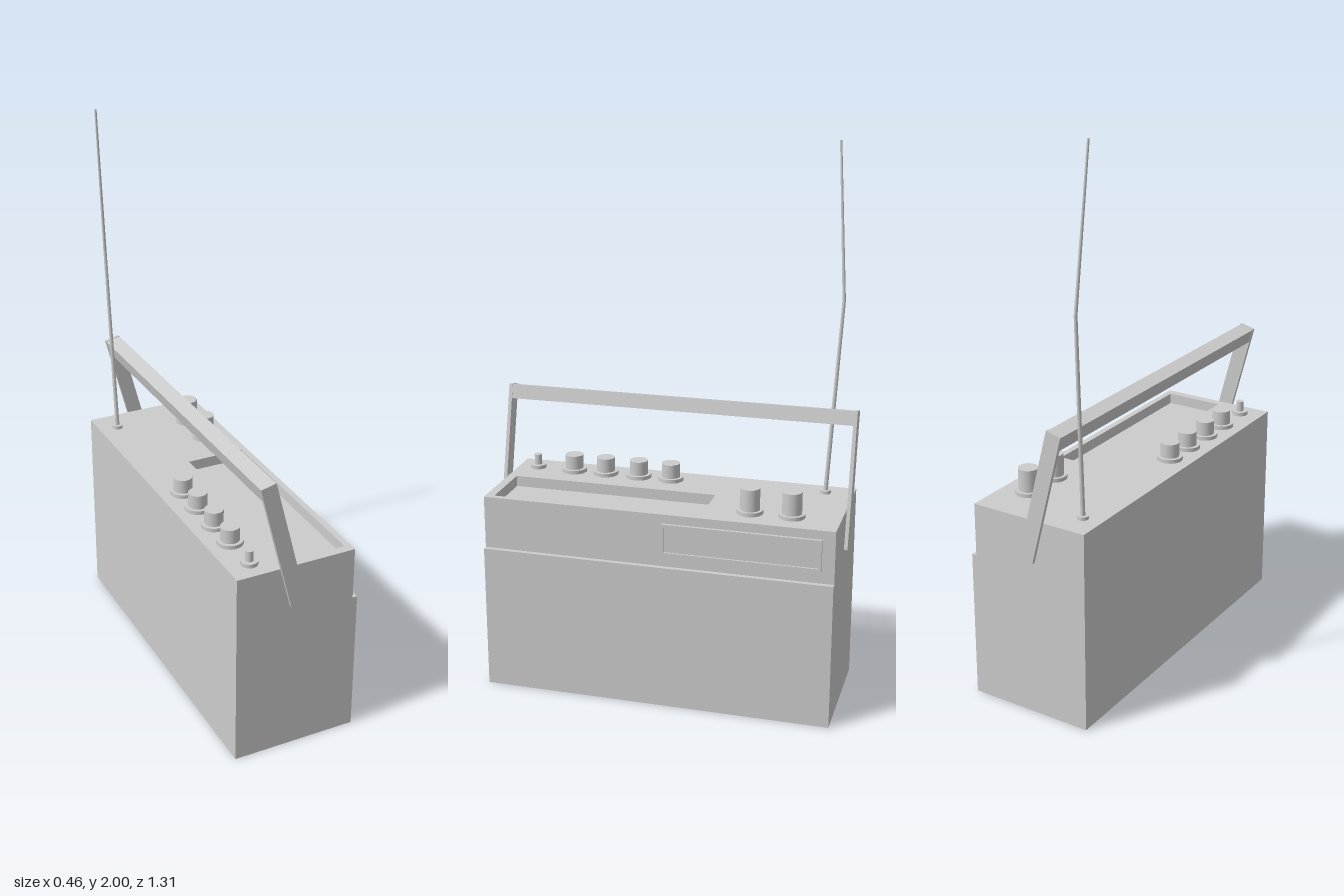
import * as THREE from 'three';

const TOP = 0.735, SEAM = 0.695;
const material = new THREE.MeshStandardMaterial({ color: 0xcccccc });

function add(parent, name, geometry, x = 0, y = 0, z = 0) {
  const mesh = new THREE.Mesh(geometry, material);
  mesh.name = name;
  mesh.position.set(x, y, z);
  parent.add(mesh);
  return mesh;
}

function rect(Type, x0, y0, x1, y1) {
  return new Type([[x0, y0], [x1, y0], [x1, y1], [x0, y1]].map(([x, y]) => new THREE.Vector2(x, y)));
}

// Rectangular plate with a rectangular opening
function framedPlate(outer, inner, depth) {
  const shape = rect(THREE.Shape, ...outer);
  shape.holes.push(rect(THREE.Path, ...inner));
  return new THREE.ExtrudeGeometry(shape, { depth, bevelEnabled: false });
}

// Knob with a flat collar, standing on the top surface
function addKnob(parent, name, x, z, radius, collar, height) {
  const knob = new THREE.Group();
  knob.name = name;
  knob.position.set(x, TOP, z);
  add(knob, 'collar', new THREE.CylinderGeometry(collar, collar, 0.014, 32), 0, 0.007, 0);
  add(knob, 'cap', new THREE.CylinderGeometry(radius, radius, height, 32), 0, height / 2, 0);
  parent.add(knob);
}

// Tapered rod between two points
function addRod(parent, name, a, b, ra, rb) {
  const dir = b.clone().sub(a);
  const rod = add(parent, name, new THREE.CylinderGeometry(rb, ra, dir.length(), 12));
  rod.position.copy(a).add(b).multiplyScalar(0.5);
  rod.quaternion.setFromUnitVectors(new THREE.Vector3(0, 1, 0), dir.normalize());
}

export function createModel() {
  const radio = new THREE.Group();
  radio.name = 'portableRadio';

  // Case: stepped front, with a shallow tray sunk into the top
  const profile = new THREE.Shape([
    [-0.234, 0], [0.23, 0], [0.23, 0.54], [0.212, 0.54], [0.212, SEAM], [-0.234, SEAM],
  ].map(([x, y]) => new THREE.Vector2(x, y)));
  add(radio, 'case', new THREE.ExtrudeGeometry(profile, { depth: 1.285, bevelEnabled: false }), 0, 0, -0.6425);
  const deck = framedPlate([-0.234, -0.6425, 0.212, 0.6425], [-0.03, -0.16, 0.19, 0.61], TOP - SEAM);
  add(radio, 'topDeck', deck.rotateX(Math.PI / 2), 0, TOP, 0);

  // Dial on the front: raised rim around a window
  const rim = framedPlate([0.025, 0.585, 0.597, 0.702], [0.036, 0.596, 0.586, 0.691], 0.012);
  add(radio, 'dialFrame', rim.rotateY(Math.PI / 2), 0.211, 0, 0);
  add(radio, 'dialWindow', new THREE.BoxGeometry(0.006, 0.1, 0.555), 0.213, 0.6435, -0.311);

  // Knobs
  for (const z of [-0.47, -0.32]) addKnob(radio, 'frontKnob', 0.11, z, 0.035, 0.047, 0.094);
  for (const z of [0.04, 0.165, 0.295, 0.42]) addKnob(radio, 'backKnob', -0.148, z, 0.034, 0.047, 0.066);
  addKnob(radio, 'smallKnob', -0.15, 0.567, 0.014, 0.03, 0.053);

  // Handle: two arms and a crossbar, tilted backwards
  const handle = new THREE.Group();
  handle.name = 'handle';
  handle.position.set(-0.007, 0.587, 0);
  handle.rotation.z = 0.25;
  for (const side of [-1, 1]) {
    add(handle, 'handleArm', new THREE.BoxGeometry(0.057, 0.495, 0.013), 0, 0.2475, side * 0.649);
  }
  add(handle, 'handleBar', new THREE.BoxGeometry(0.055, 0.052, 1.29), 0, 0.467, 0);
  radio.add(handle);

  // Antenna: slightly bent, on a round socket
  const foot = new THREE.Vector3(-0.162, TOP, -0.54);
  const bend = new THREE.Vector3(-0.172, 1.45, -0.582);
  const tip = new THREE.Vector3(-0.203, 2, -0.547);
  add(radio, 'antennaSocket', new THREE.CylinderGeometry(0.02, 0.02, 0.012, 24), foot.x, TOP + 0.006, foot.z);
  addRod(radio, 'antennaLower', foot, bend, 0.008, 0.006);
  addRod(radio, 'antennaUpper', bend, tip, 0.006, 0.004);

  return radio;
}
